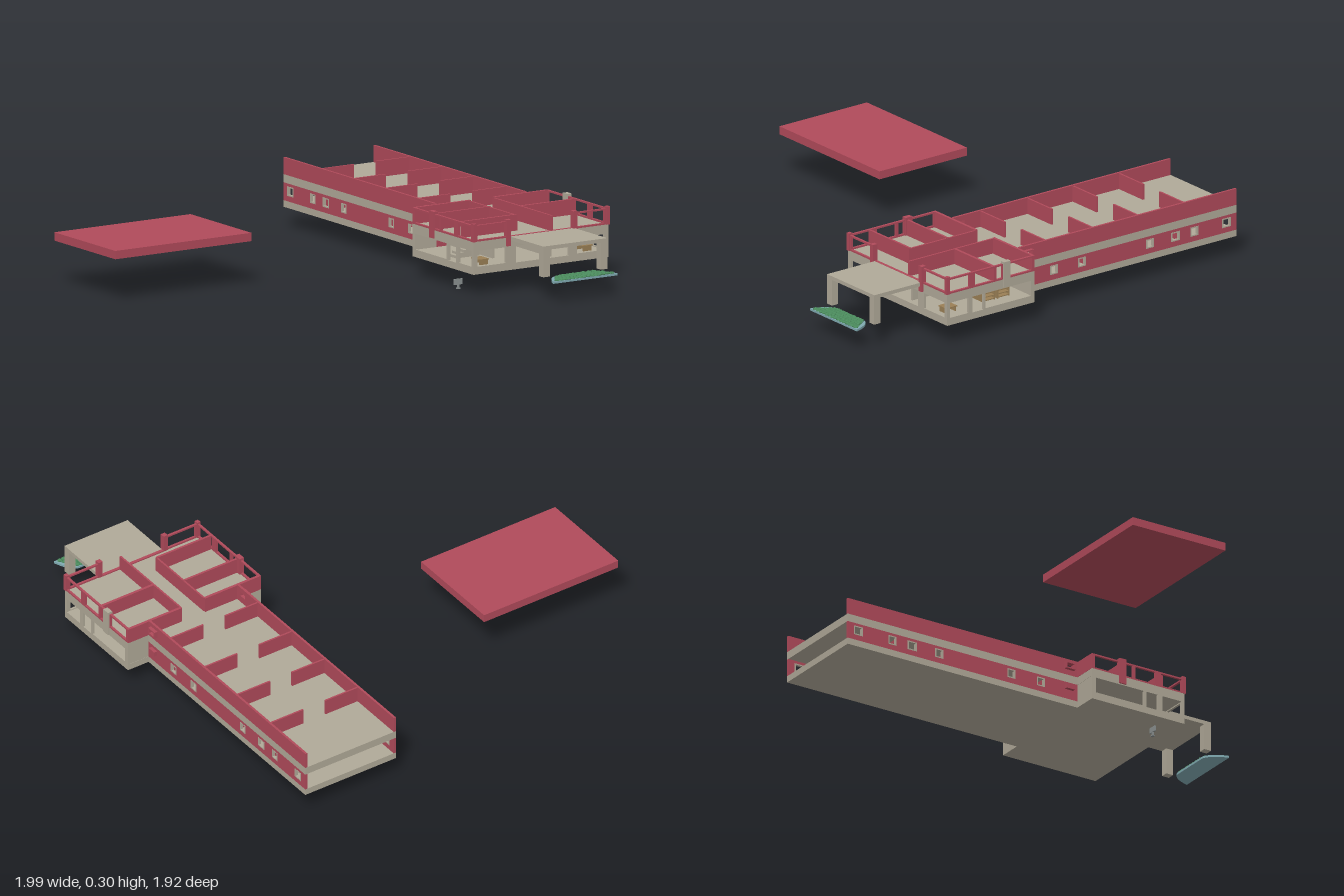
import * as THREE from 'three';

const mat = (color) => new THREE.MeshStandardMaterial({ color, flatShading: true });

export function createModel() {
  const root = new THREE.Group();
  const red = mat(0xb04a5a), beige = mat(0xb0a998), wood = mat(0x9a7f55);
  const grey = mat(0x8a9090), teal = mat(0x7fa9b0), green = mat(0x4a8a5c);

  function add(name, geo, material, parent = root) {
    const mesh = new THREE.Mesh(geo, material);
    mesh.name = name;
    parent.add(mesh);
    return mesh;
  }

  // Box given by its minimum and maximum corners
  function box(name, material, x0, x1, y0, y1, z0, z1, parent = root) {
    const m = add(name, new THREE.BoxGeometry(x1 - x0, y1 - y0, z1 - z0), material, parent);
    m.position.set((x0 + x1) / 2, (y0 + y1) / 2, (z0 + z1) / 2);
    return m;
  }

  // Upright wall along 'x' or 'z' with rectangular holes [from, to, bottom, top]
  function wall(name, material, axis, from, to, at, y0, y1, holes = [], t = 0.01) {
    const rect = (target, a, b, c, d) =>
      target.moveTo(a, c).lineTo(b, c).lineTo(b, d).lineTo(a, d).closePath();
    const shape = rect(new THREE.Shape(), from, to, y0, y1);
    for (const h of holes) shape.holes.push(rect(new THREE.Path(), ...h));
    const geo = new THREE.ExtrudeGeometry(shape, { depth: t, bevelEnabled: false });
    geo.translate(0, 0, -t / 2);
    if (axis === 'z') geo.rotateY(-Math.PI / 2).translate(at, 0, 0);
    else geo.translate(0, 0, at);
    return add(name, geo, material);
  }

  const F0 = 0.085, F1 = 0.113, D0 = 0.188, D1 = 0.222, TOP = 0.293;

  // Separate roof slab
  box('roofSlab', red, -1, -0.33, 0.185, 0.22, -0.5, -0.045);

  // Ground floor and upper deck, long wing and front block
  for (const [name, y0, y1] of [['groundFloor', F0, F1], ['upperDeck', D0, D1]]) {
    box(name + 'Wing', beige, 0.43, 0.882, y0, y1, -0.96, 0.17);
    box(name + 'Block', beige, 0.32, 0.985, y0, y1, 0.17, 0.625);
  }

  // Wing side walls with window rows
  const windows = [[-0.93, -0.885], [-0.76, -0.72], [-0.665, -0.62], [-0.53, -0.49], [-0.175, -0.135], [-0.03, 0.01]];
  for (const [x, out] of [[0.435, -1], [0.877, 1]]) {
    wall('wingLowerWall', red, 'z', -0.96, 0.17, x, F1, D0, windows.map(([a, b]) => [a, b, 0.136, 0.176]));
    wall('wingUpperWall', red, 'z', -0.96, 0.17, x, D1, TOP, [[0.112, 0.146, 0.252, 0.27]]);
    for (const [a, b] of windows) {
      wall('windowFrame', beige, 'z', a, b, x, 0.136, 0.176, [[a + 0.006, b - 0.006, 0.141, 0.171]], 0.012);
    }
    // Projecting window boxes near the front block
    wall('windowBox', red, 'z', 0.106, 0.152, x + out * 0.012, 0.246, 0.276, [[0.112, 0.146, 0.252, 0.27]], 0.016);
    const c = x + out * 0.012;
    box('ventBox', red, c - 0.008, c + 0.008, 0.155, 0.175, 0.108, 0.148);
  }

  // Room partitions on both storeys of the wing
  for (const z of [-0.695, -0.455, -0.22, 0.025]) {
    for (const [a, b] of [[0.44, 0.6], [0.71, 0.872]]) {
      wall('upperPartition', red, 'x', a, b, z, D1, 0.29, [], 0.008);
      wall('lowerPartition', red, 'x', a, b, z, F1, D0, [], 0.008);
    }
  }

  // Front block, lower storey
  const sideHoles = [[0.515, 0.61, 0.117, 0.183], [0.437, 0.493, 0.114, 0.183], [0.19, 0.425, 0.117, 0.183]];
  for (const x of [0.325, 0.98]) wall('blockLowerSide', beige, 'z', 0.17, 0.625, x, F1, D0, sideHoles);
  wall('blockLowerFront', beige, 'x', 0.33, 0.975, 0.62, F1, D0,
    [[0.34, 0.48, 0.117, 0.183], [0.53, 0.79, 0.1135, 0.183], [0.83, 0.965, 0.117, 0.183]]);
  for (const [a, b] of [[0.33, 0.43], [0.88, 0.975]]) wall('blockLowerBack', beige, 'x', a, b, 0.176, F1, D0);
  wall('lobbyBackLeft', red, 'x', 0.43, 0.6, 0.176, F1, D0);
  wall('lobbyBackRight', beige, 'x', 0.71, 0.88, 0.176, F1, D0);
  wall('lobbySideRight', beige, 'z', 0.18, 0.6, 0.715, F1, D0);
  wall('lobbySideLeft', beige, 'z', 0.18, 0.5, 0.5, F1, D0);

  // Front block, upper storey: solid inner walls
  for (const [a, b] of [[0.33, 0.6], [0.715, 0.975]]) wall('blockUpperBack', red, 'x', a, b, 0.175, D1, 0.29, [], 0.012);
  for (const z of [0.325, 0.52]) wall('upperRoomWall', red, 'x', 0.33, 0.6, z, D1, 0.29);
  wall('upperRoomWall', red, 'x', 0.715, 0.975, 0.375, D1, 0.287, [], 0.012);
  wall('upperHallWall', red, 'z', 0.18, 0.525, 0.598, D1, 0.287, [], 0.008);
  wall('upperHallWall', red, 'z', 0.18, 0.615, 0.715, D1, 0.287, [], 0.008);

  // Front block, upper storey: outer frames with large openings
  const openings = [[0.185, 0.3], [0.338, 0.37], [0.382, 0.48], [0.508, 0.612]];
  for (const x of [0.325, 0.98]) {
    wall('upperSideFrame', red, 'z', 0.17, 0.625, x, D1, 0.29, openings.map(([a, b]) => [a, b, D1 + 0.007, 0.283]));
  }
  for (const [a, b] of [[0.33, 0.5], [0.81, 0.975]]) {
    wall('upperFrontFrame', red, 'x', a, b, 0.62, D1, 0.29, [[a + 0.01, b - 0.01, D1 + 0.007, 0.283]]);
  }
  box('frontSill', red, 0.5, 0.81, D1, D1 + 0.005, 0.612, 0.625);

  // Pillars on the edges of the block
  for (const x of [0.49, 0.815]) box('frontPillar', red, x - 0.01, x + 0.01, D0, 0.298, 0.612, 0.634);
  for (const [x, m] of [[0.325, red], [0.983, beige]]) box('sidePillar', m, x - 0.011, x + 0.011, D0, 0.3, 0.302, 0.336);
  for (const x of [0.325, 0.98]) box('cornerPost', red, x - 0.008, x + 0.008, D1, 0.298, 0.612, 0.63);

  // Entrance canopy on two legs
  box('canopy', beige, 0.5, 0.815, 0.21, 0.226, 0.62, 0.873);
  for (const x of [0.5, 0.783]) box('canopyLeg', beige, x, x + 0.032, 0.097, 0.21, 0.84, 0.873);

  // Interior staircase and shelving behind the windows
  for (let i = 0; i < 6; i++) {
    box('stairStep', beige, 0.37 + i * 0.019, 0.37 + (i + 1) * 0.019, F1, 0.124 + i * 0.01, 0.36, 0.42);
  }
  for (const z of [0.25, 0.325]) {
    const shelf = new THREE.Group();
    shelf.name = 'shelfUnit';
    root.add(shelf);
    for (const s of [0, 0.058]) box('shelfSide', wood, 0.84, 0.92, F1, 0.167, z + s, z + s + 0.004, shelf);
    for (let i = 0; i < 4; i++) box('shelfBoard', wood, 0.84, 0.92, 0.117 + i * 0.015, 0.121 + i * 0.015, z, z + 0.06, shelf);
  }
  for (const x of [0.37, 0.88]) {
    box('deskTop', wood, x, x + 0.05, 0.133, 0.137, 0.53, 0.59);
    for (const z of [0.532, 0.582]) box('deskLeg', wood, x + 0.005, x + 0.045, F1, 0.133, z, z + 0.006);
  }

  // Planting bed: rounded at the back, flat at the front
  const bed = new THREE.Shape();
  bed.moveTo(0.495, -0.958).lineTo(0.81, -0.958).lineTo(0.8, -0.93);
  bed.quadraticCurveTo(0.775, -0.87, 0.74, -0.87).lineTo(0.565, -0.87);
  bed.quadraticCurveTo(0.53, -0.87, 0.495, -0.95).closePath();
  const bedGeo = new THREE.ExtrudeGeometry(bed, { depth: 0.009, bevelEnabled: false, curveSegments: 8 });
  bedGeo.rotateX(-Math.PI / 2).translate(0, 0.085, 0);
  add('plantingBed', bedGeo, teal);
  const plants = new THREE.Group();
  plants.name = 'plants';
  root.add(plants);
  let seed = 7;
  const rnd = () => (seed = (seed * 16807) % 2147483647) / 2147483647;
  const bushGeo = new THREE.IcosahedronGeometry(0.012, 0);
  for (let row = 0; row < 5; row++) {
    const half = 0.09 + row * 0.011;
    for (let i = 0; i < 15; i++) {
      const bush = add('bush', bushGeo, green, plants);
      bush.position.set(0.653 + half * (i / 7 - 1), 0.094 + rnd() * 0.003, 0.883 + row * 0.016);
      bush.rotation.y = rnd() * 6;
      bush.scale.y = 0.6;
    }
  }

  // Small sign on a post
  box('signPanel', grey, 0.32, 0.36, 0.018, 0.042, 0.478, 0.484);
  box('signPost', grey, 0.336, 0.344, 0, 0.018, 0.478, 0.484);
  box('signFoot', grey, 0.332, 0.348, 0, 0.004, 0.475, 0.487);

  return root;
}
